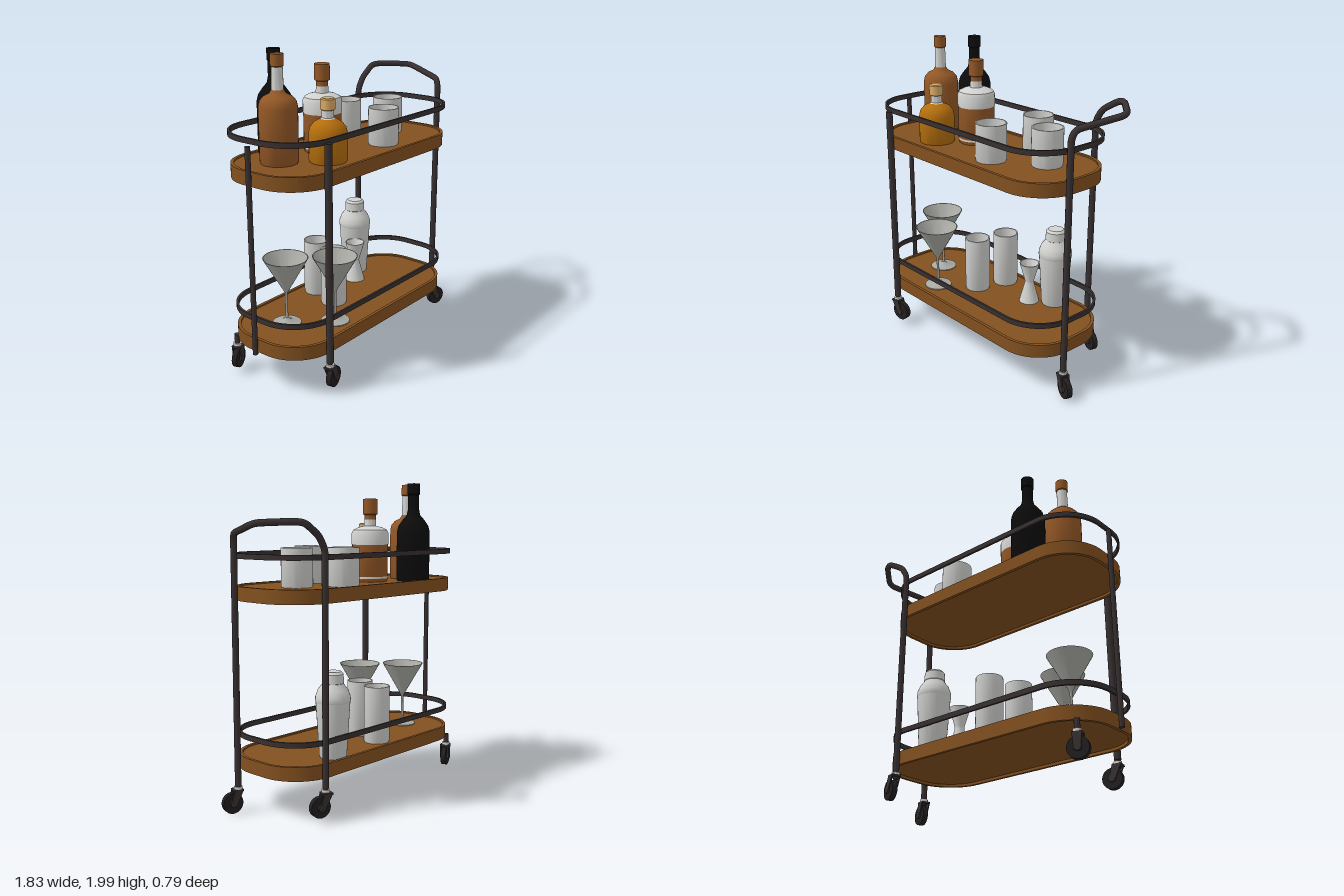
import * as THREE from 'three';
import { toCreasedNormals } from 'three/addons/utils/BufferGeometryUtils.js';

const mat = (name, color, side = THREE.FrontSide) => {
  const m = new THREE.MeshStandardMaterial({ color, side });
  m.name = name;
  return m;
};

export function createModel() {
  const cart = new THREE.Group();
  cart.name = 'barCart';

  const wood = mat('wood', 0x82501f);
  const metal = mat('darkMetal', 0x383031);
  const rubber = mat('rubber', 0x221e20);
  const brown = mat('brownGlass', 0x935726);
  const amber = mat('amberGlass', 0xb56e0c);
  const black = mat('blackGlass', 0x0c0c0d);
  const white = mat('paleGlass', 0xd2d2d0, THREE.DoubleSide);
  const cork = mat('cork', 0xd9aa66);
  const steel = mat('greyGlass', 0xa9aaa4, THREE.DoubleSide);
  const tint = mat('glassBottom', 0xcdb5a6);

  const add = (parent, name, geo, material, x = 0, y = 0, z = 0) => {
    const mesh = new THREE.Mesh(geo, material);
    mesh.name = name;
    mesh.position.set(x, y, z);
    parent.add(mesh);
    return mesh;
  };
  const group = (name, x, y, z) => {
    const g = new THREE.Group();
    g.name = name;
    g.position.set(x, y, z);
    cart.add(g);
    return g;
  };
  // Turned shape from [radius, height] pairs, listed bottom to top on the outside
  const turned = (pts, sides = 32) => toCreasedNormals(
    new THREE.LatheGeometry(pts.map(([r, y]) => new THREE.Vector2(r, y)), sides), 0.6);

  // Rounded oblong outline shared by trays and rails
  const oblong = (grow, Type = THREE.Shape) => {
    const s = new Type(), x0 = -0.88 - grow, x1 = 0.74 + grow, h = 0.335 + grow, r = 0.27 + grow;
    s.moveTo(x0 + r, -h);
    s.lineTo(x1 - r, -h);
    s.absarc(x1 - r, -h + r, r, -Math.PI / 2, 0);
    s.absarc(x1 - r, h - r, r, 0, Math.PI / 2);
    s.absarc(x0 + r, h - r, r, Math.PI / 2, Math.PI);
    s.absarc(x0 + r, -h + r, r, Math.PI, Math.PI * 1.5);
    return s;
  };
  const slab = (outer, inner, height) => {
    const s = oblong(outer);
    if (inner !== null) s.holes.push(oblong(inner, THREE.Path));
    const g = new THREE.ExtrudeGeometry(s, { depth: height, bevelEnabled: false, curveSegments: 16 });
    return toCreasedNormals(g.rotateX(-Math.PI / 2), 0.6);
  };

  // Trays with a raised rim, and the guard rails above them
  for (const [level, y, railY, railGrow] of [['lower', 0.257, 0.458, 0.003], ['upper', 1.29, 1.54, 0.01]]) {
    add(cart, level + 'TrayRim', slab(0, -0.02, 0.086), wood, 0, y);
    add(cart, level + 'TrayFloor', slab(-0.015, null, 0.058), wood, 0, y + 0.018);
    add(cart, level + 'Rail', slab(railGrow, railGrow - 0.014, 0.032), metal, 0, railY);
  }

  // Plain posts
  const post = (name, x, z, r, y0, y1) =>
    add(cart, name, new THREE.CylinderGeometry(r, r, y1 - y0, 16), metal, x, (y0 + y1) / 2, z);
  post('endPost', -0.907, 0, 0.016, 0.257, 1.53);
  post('frontPost', -0.64, 0.355, 0.022, 0.21, 1.55);

  // Back post, push handle and right post as one bent tube
  const path = new THREE.CurvePath();
  const bends = [[0.52, 0.21, -0.35], [0.52, 1.6, -0.35], [0.57, 1.68, -0.35], [0.69, 1.752, -0.36],
    [0.75, 1.757, -0.33], [0.885, 1.75, -0.19], [0.895, 1.74, -0.15], [0.79, 1.69, 0.12],
    [0.775, 1.64, 0.14], [0.775, 0.17, 0.14]].map(p => new THREE.Vector3(...p));
  let from = bends[0];
  for (let i = 1; i < bends.length; i++) {
    const b = bends[i], next = bends[i + 1];
    if (!next) { path.add(new THREE.LineCurve3(from, b)); break; }
    // round each corner a little
    const trim = p => b.clone().add(p.clone().sub(b).setLength(Math.min(0.035, p.distanceTo(b) * 0.45)));
    const a = trim(bends[i - 1]), c = trim(next);
    path.add(new THREE.LineCurve3(from, a));
    path.add(new THREE.QuadraticBezierCurve3(a, b, c));
    from = c;
  }
  add(cart, 'handleFrame', new THREE.TubeGeometry(path, 260, 0.02, 12), metal);

  // Swivel casters: stem position, stem top, wheel centre, yaw
  const casters = [
    [-0.8, -0.27, 0.26, -0.8, 0.1, -0.265, 0.35],
    [-0.64, 0.355, 0.23, -0.605, 0.1, 0.35, 0.2],
    [0.52, -0.35, 0.23, 0.565, 0.1, -0.345, -0.3],
    [0.775, 0.14, 0.19, 0.81, 0.07, 0.155, -0.3],
  ];
  for (const [sx, sz, top, wx, wy, wz, yaw] of casters) {
    const stem = group('casterStem', sx, 0, sz);
    const low = wy + 0.06;
    add(stem, 'stem', new THREE.CylinderGeometry(0.017, 0.017, top - low, 12), metal, 0, (top + low) / 2);
    add(stem, 'collar', new THREE.CylinderGeometry(0.026, 0.026, 0.016, 16), white, 0, wy + 0.092);
    const c = group('caster', wx, wy, wz);
    c.rotation.y = yaw;
    const wheel = new THREE.CylinderGeometry(0.064, 0.064, 0.034, 24).rotateX(Math.PI / 2);
    add(c, 'wheel', wheel, rubber);
    add(c, 'hub', new THREE.CylinderGeometry(0.022, 0.022, 0.062, 16).rotateX(Math.PI / 2), metal);
    const dx = sx - wx;
    const fork = new THREE.Shape([[-0.02, -0.015], [0.02, -0.015], [dx + 0.028, 0.08], [dx - 0.028, 0.08]]
      .map(p => new THREE.Vector2(...p)));
    for (const z of [-0.03, 0.022])
      add(c, 'forkPlate', new THREE.ExtrudeGeometry(fork, { depth: 0.008, bevelEnabled: false }), metal, 0, 0, z);
    add(c, 'forkTop', new THREE.BoxGeometry(0.06, 0.012, 0.06), metal, dx, 0.078);
  }

  // Bottles: stacked turned sections, each with its own colour
  const bottle = (name, x, z, sections) => {
    const g = group(name, x, 1.366, z);
    for (const [part, material, pts] of sections) add(g, part, turned(pts), material);
  };
  bottle('tallBrownBottle', -0.605, -0.05, [
    ['body', brown, [[0, 0], [0.11, 0], [0.115, 0.01], [0.115, 0.33], [0.107, 0.365], [0.085, 0.39], [0.05, 0.408], [0.036, 0.43]]],
    ['neck', white, [[0.036, 0.425], [0.033, 0.565]]],
    ['cap', brown, [[0.033, 0.56], [0.039, 0.565], [0.039, 0.634], [0, 0.634]]]]);
  bottle('blackBottle', -0.455, -0.22, [
    ['body', black, [[0, 0], [0.103, 0], [0.108, 0.01], [0.108, 0.32], [0.098, 0.36], [0.07, 0.4], [0.044, 0.43],
      [0.036, 0.47], [0.036, 0.56], [0.041, 0.565], [0.041, 0.634], [0, 0.634]]]]);
  bottle('amberBottle', -0.4, 0.15, [
    ['body', amber, [[0, 0], [0.11, 0], [0.115, 0.01], [0.115, 0.17], [0.107, 0.205], [0.085, 0.232], [0.045, 0.255]]],
    ['neck', white, [[0.046, 0.25], [0.036, 0.262], [0.036, 0.31]]],
    ['stopper', cork, [[0.036, 0.305], [0.044, 0.31], [0.044, 0.37], [0.036, 0.376], [0, 0.376]]]]);
  bottle('labelBottle', -0.228, -0.04, [
    ['body', brown, [[0, 0], [0.112, 0], [0.117, 0.01], [0.117, 0.245]]],
    ['baseLine', white, [[0.119, 0.022], [0.119, 0.034]]],
    ['shoulder', white, [[0.12, 0.24], [0.12, 0.315], [0.11, 0.335], [0.08, 0.35], [0.04, 0.36], [0.036, 0.41]]],
    ['collar', brown, [[0.037, 0.4], [0.037, 0.435]]],
    ['cap', brown, [[0.037, 0.43], [0.047, 0.435], [0.047, 0.534], [0, 0.534]]]]);

  // Tumblers and highball glasses: open cups
  const cup = (name, x, y, z, r, h) => {
    const g = group(name, x, y, z), i = r - 0.008;
    add(g, 'wall', turned([[0, 0], [r - 0.004, 0], [r, 0.01], [r, h], [i, h], [i, 0.02]]), white);
    add(g, 'bottom', new THREE.CircleGeometry(i, 32).rotateX(-Math.PI / 2), tint, 0, 0.021);
  };
  for (const [x, z] of [[0.19, -0.19], [0.43, -0.03], [0.135, 0.155]]) cup('tumbler', x, 1.366, z, 0.097, 0.236);
  for (const [x, z] of [[-0.18, 0], [-0.117, -0.2]]) cup('highballGlass', x, 0.333, z, 0.084, 0.37);

  // Cocktail glasses
  for (const [x, z] of [[-0.598, -0.03], [-0.387, 0.185]])
    add(cart, 'cocktailGlass', turned([[0, 0], [0.09, 0], [0.09, 0.006], [0.03, 0.016], [0.009, 0.035], [0.008, 0.2],
      [0.018, 0.22], [0.14, 0.434], [0.135, 0.434], [0.012, 0.225], [0, 0.222]]), steel, x, 0.335, z);

  // Double measuring cup
  add(cart, 'jigger', turned([[0, 0], [0.066, 0], [0.03, 0.135], [0.03, 0.15], [0.066, 0.275], [0.06, 0.275],
    [0.024, 0.16], [0, 0.155]]), white, 0.2, 0.333, -0.125);

  // Cocktail shaker
  const shaker = group('shaker', 0.33, 0.333, -0.23);
  add(shaker, 'cup', turned([[0, 0], [0.08, 0], [0.085, 0.01], [0.106, 0.35]]), white);
  add(shaker, 'lid', turned([[0.106, 0.345], [0.109, 0.352], [0.107, 0.38], [0.092, 0.42], [0.068, 0.45], [0.062, 0.465]]), white);
  add(shaker, 'cap', turned([[0.062, 0.455], [0.067, 0.46], [0.064, 0.515], [0.05, 0.53], [0, 0.532]]), white);

  return cart;
}
